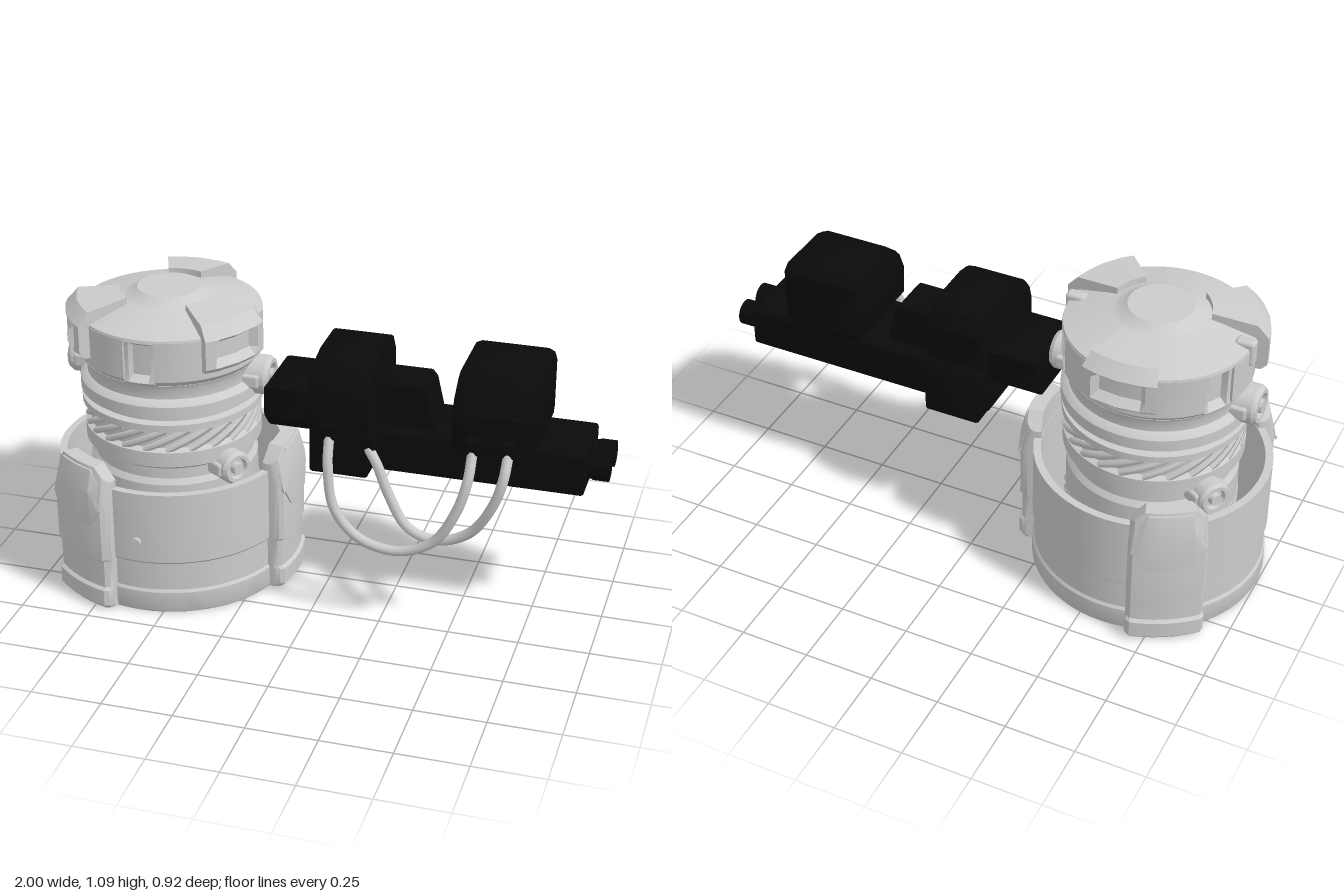
import * as THREE from 'three';
import { toCreasedNormals } from 'three/addons/utils/BufferGeometryUtils.js';
import { RoundedBoxGeometry } from 'three/addons/geometries/RoundedBoxGeometry.js';

const grey = new THREE.MeshStandardMaterial({ color: 0xcccccc, side: THREE.DoubleSide });
const black = new THREE.MeshStandardMaterial({ color: 0x0a0a0a });
const rad = THREE.MathUtils.degToRad;

function add(parent, name, geometry, material, x = 0, y = 0, z = 0) {
  const mesh = new THREE.Mesh(geometry, material);
  mesh.name = name;
  mesh.position.set(x, y, z);
  parent.add(mesh);
  return mesh;
}

const toShape = (points) => new THREE.Shape(points.map((p) => new THREE.Vector2(...p)));

function lathe(points) {
  const g = new THREE.LatheGeometry(points.map(([r, y]) => new THREE.Vector2(r, y)), 64);
  return toCreasedNormals(g, 0.5);
}

// Sweeps a counter-clockwise (radius, y) section around the axis; section(t) may vary over t = -1..1.
function arcBlock(section, centre, half, steps) {
  const loops = steps.map((t) => section(t));
  const n = loops[0].length, pos = [];
  const put = (k, i) => {
    const a = rad(centre + half * steps[k]), [r, y] = loops[k][i % n];
    pos.push(r * Math.cos(a), y, r * Math.sin(a));
  };
  for (let k = 0; k < steps.length - 1; k++) {
    for (let i = 0; i < n; i++) {
      put(k, i); put(k, i + 1); put(k + 1, i);
      put(k, i + 1); put(k + 1, i + 1); put(k + 1, i);
    }
  }
  for (const k of [0, steps.length - 1]) {
    const faces = THREE.ShapeUtils.triangulateShape(loops[k].map((p) => new THREE.Vector2(...p)), []);
    for (const [a, b, c] of faces) (k ? [a, b, c] : [a, c, b]).forEach((i) => put(k, i));
  }
  const g = new THREE.BufferGeometry();
  g.setAttribute('position', new THREE.Float32BufferAttribute(pos, 3));
  return toCreasedNormals(g, 0.45);
}

// Extrudes a (z, y) outline along x from x0 to x1 with a small bevel.
function sideBlock(outline, x0, x1, bevel = 0.012) {
  const g = new THREE.ExtrudeGeometry(toShape(outline.map(([z, y]) => [-z, y])), {
    depth: x1 - x0 - 2 * bevel, bevelThickness: bevel, bevelSize: bevel, bevelOffset: -bevel, bevelSegments: 2,
  });
  g.translate(0, 0, x0 + bevel).rotateY(Math.PI / 2);
  return toCreasedNormals(g, 0.5);
}

function buildBase(turret) {
  // Open ring: no floor between it and the column
  add(turret, 'baseRing', lathe([[0.385, 0.02], [0.4, 0], [0.41, 0], [0.415, 0.01], [0.415, 0.08], [0.408, 0.09],
    [0.408, 0.195], [0.415, 0.203], [0.415, 0.47], [0.388, 0.47], [0.385, 0.02]]), grey);
  const steps = [-1, -0.95, -0.85, -0.62, -0.3, 0, 0.3, 0.62, 0.85, 0.95, 1];
  for (const angle of [0, 120, 240]) {
    // Armour pad with clipped upper corners and rounded sides
    const pad = (t) => {
      const e = Math.abs(t), top = 0.555 - Math.max(0, e - 0.62) * 0.15;
      const d = Math.max(0, e - 0.85) ** 2 * 1.2;
      return [[0.39, 0.005], [0.455 - d, 0.005], [0.468 - d, 0.02], [0.468 - d, 0.08], [0.457 - d, 0.09],
        [0.457 - d, 0.195], [0.466 - d, 0.203], [0.466 - d, top - 0.09], [0.443 - d, top], [0.39, top]];
    };
    add(turret, 'armourPad', arcBlock(pad, angle, 18, steps), grey);
    // Eight-sided panel on the upper pad
    const panel = (t) => {
      const cut = Math.max(0, Math.abs(t) - 0.62) * 0.2;
      return [[0.44, 0.33 + cut], [0.473, 0.33 + cut], [0.473, 0.465 - cut], [0.452, 0.545 - cut], [0.43, 0.545 - cut]];
    };
    add(turret, 'padPanel', arcBlock(panel, angle, 16, steps), grey);
  }
  // Front bolt and its inner cone
  const bolt = add(turret, 'frontBolt', new THREE.CylinderGeometry(0.018, 0.018, 0.03, 12), grey, 0, 0.28, 0.413);
  bolt.rotation.x = Math.PI / 2;
  const cone = add(turret, 'innerCone', new THREE.CylinderGeometry(0.012, 0.04, 0.18, 16), grey, 0, 0.28, 0.3);
  cone.rotation.x = Math.PI / 2;
}

// A band of slanted ribs between two heights
function ribBand(parent, count, radius, y0, y1, sweep) {
  for (let k = 0; k < count; k++) {
    const pts = [0, 1, 2, 3, 4].map((i) => {
      const a = (k / count) * Math.PI * 2 - (i / 4) * rad(sweep);
      return new THREE.Vector3(radius * Math.cos(a), y0 + ((y1 - y0) * i) / 4, radius * Math.sin(a));
    });
    add(parent, 'slantedRib', new THREE.TubeGeometry(new THREE.CatmullRomCurve3(pts), 6, 0.013, 5), grey);
  }
}

function buildColumn(turret) {
  add(turret, 'column', lathe([[0.3, 0.1], [0.3, 0.45], [0.285, 0.47], [0.285, 0.51], [0.315, 0.53], [0.315, 0.585], [0.295, 0.595],
    [0.295, 0.665], [0.322, 0.67], [0.322, 0.695], [0.295, 0.7], [0.295, 0.715], [0.325, 0.722], [0.325, 0.765],
    [0.31, 0.78], [0.3, 0.785], [0.3, 0.82], [0.31, 0.84], [0.27, 0.85]]), grey);
  ribBand(turret, 24, 0.303, 0.59, 0.668, 30);
  ribBand(turret, 24, 0.293, 0.26, 0.34, 30);
  // Round hubs: the upper pair is the arm pivot, the lower pair sits in the base
  const hub = [[0.07, -0.07], [0.07, 0.03], [0.06, 0.045], [0.045, 0.045], [0.04, 0.025], [0.026, 0.025], [0.024, 0.05], [0, 0.05]];
  for (const [angle, y, s] of [[0, 0.785, 1], [180, 0.785, 1], [33, 0.505, 0.85], [213, 0.505, 0.85]]) {
    const pivot = new THREE.Group();
    pivot.name = 'hub';
    pivot.rotation.y = -rad(angle);
    turret.add(pivot);
    const disc = add(pivot, 'hubDisc', lathe(hub), grey, 0.33, y, 0);
    disc.rotation.z = -Math.PI / 2;
    disc.scale.setScalar(s);
    add(pivot, 'hubBracket', new RoundedBoxGeometry(0.07, 0.05, 0.16 * s, 2, 0.01), grey, 0.31, y, 0);
  }
}

function buildHead(turret) {
  add(turret, 'headCore', lathe([[0.27, 0.85], [0.285, 0.85], [0.285, 1.0], [0.325, 1.0], [0.322, 1.012], [0.21, 1.045],
    [0.16, 1.057], [0.14, 1.063], [0.112, 1.085], [0, 1.085]]), grey);
  const wide = Array.from({ length: 17 }, (_, i) => i / 8 - 1);
  const frame = [-1, -0.72, -0.6, 0, 0.6, 0.72, 1];
  for (const angle of [30, 150, 270]) {
    // Head wall between two window pockets
    add(turret, 'headWall', arcBlock(() => [[0.27, 0.83], [0.3, 0.83], [0.325, 0.86], [0.325, 1.005], [0.27, 1.005]], angle, 50, wide), grey);
    // Raised roof plate folding over the edge, with a recessed window
    const plate = (t) => {
      const r = Math.abs(t) < 0.65 ? 0.338 : 0.366;
      return [[0.3, 0.89], [0.345, 0.89], [0.366, 0.91], [r, 0.935], [r, 0.995], [0.366, 1.015], [0.325, 1.06], [0.17, 1.078], [0.17, 1.03]];
    };
    add(turret, 'roofPlate', arcBlock(plate, angle, 21, frame), grey);
    // Window pocket sill and inner frame
    const pocket = (t) => {
      const r = Math.abs(t) < 0.65 ? 0.292 : 0.315;
      return [[0.27, 0.83], [0.3, 0.83], [0.32, 0.85], [r, 0.87], [r, 0.98], [0.318, 1.0], [0.27, 1.0]];
    };
    add(turret, 'windowPocket', arcBlock(pocket, angle + 60, 10, frame), grey);
  }
  for (const s of [-1, 1]) {
    add(turret, 'sideClip', new RoundedBoxGeometry(0.07, 0.09, 0.045, 2, 0.012), grey, s * 0.302, 0.99, 0);
  }
}

function buildGun(gun) {
  const zc = -0.01;
  add(gun, 'rail', new RoundedBoxGeometry(0.95, 0.15, 0.28, 2, 0.012), black, 0.452, 0.612, zc);
  // Rear mount with clipped lower corners
  add(gun, 'rearMount', sideBlock([[0.13, 0.69], [0.08, 0.635], [-0.09, 0.635], [-0.145, 0.69], [-0.145, 0.8], [0.13, 0.8]], -0.205, 0.02), black);
  // Drum housing: rounded over the top, wider at the foot
  add(gun, 'drumHousing', sideBlock([[0.2, 0.537], [0.2, 0.71], [0.217, 0.74], [0.217, 0.8], [0.197, 0.86], [0.162, 0.905], [0.117, 0.935],
    [0.06, 0.948], [-0.1, 0.948], [-0.15, 0.925], [-0.182, 0.87], [-0.182, 0.74], [-0.207, 0.715], [-0.218, 0.68], [-0.218, 0.537]], -0.02, 0.192), black);
  const wedge = toShape([[-0.01, 0.79], [0.04, 0.65], [0.14, 0.65], [0.185, 0.79]]);
  add(gun, 'drumWedge', new THREE.ExtrudeGeometry(wedge, { depth: 0.03, bevelEnabled: false }), black, 0, 0, 0.187);
  // Middle block with sloped nose
  const nose = toShape([[0.17, 0.67], [0.395, 0.67], [0.36, 0.82], [0.345, 0.838], [0.17, 0.838]]);
  add(gun, 'middleBlock', new THREE.ExtrudeGeometry(nose, { depth: 0.15, bevelSize: 0.006, bevelThickness: 0.006, bevelSegments: 1 }), black, 0, 0, zc - 0.075);
  // Forward pod with slanted front face and raised panel
  add(gun, 'forwardPod', sideBlock([[0.195, 0.68], [0.2, 0.8], [0.17, 0.87], [0.1, 0.93], [0.06, 0.945], [-0.15, 0.945],
    [-0.18, 0.92], [-0.18, 0.72], [-0.15, 0.68]], 0.475, 0.768, 0.03), black);
  add(gun, 'podPanel', new RoundedBoxGeometry(0.22, 0.13, 0.02, 2, 0.008), black, 0.622, 0.765, 0.192);
  // Twin muzzles
  for (const z of [-0.08, 0.035]) {
    const muzzle = add(gun, 'muzzle', lathe([[0.042, -0.05], [0.042, 0.02], [0.046, 0.025], [0.046, 0.08], [0.026, 0.08], [0.026, 0.03], [0, 0.03]]), black, 0.92, 0.61, z);
    muzzle.rotation.z = -Math.PI / 2;
  }
  // Hanging cables and their sockets
  const cables = [
    [[0.06, 0.69, 0.22], [0.065, 0.6, 0.255], [0.09, 0.44, 0.265], [0.18, 0.335, 0.265], [0.315, 0.305, 0.265], [0.44, 0.36, 0.27], [0.52, 0.49, 0.275], [0.555, 0.61, 0.26], [0.56, 0.7, 0.22]],
    [[0.19, 0.65, 0.19], [0.225, 0.6, 0.205], [0.27, 0.49, 0.21], [0.34, 0.375, 0.215], [0.44, 0.34, 0.215], [0.56, 0.395, 0.23], [0.645, 0.53, 0.255], [0.675, 0.63, 0.25], [0.68, 0.7, 0.21]],
  ];
  for (const path of cables) {
    const curve = new THREE.CatmullRomCurve3(path.map((p) => new THREE.Vector3(...p)));
    add(gun, 'cable', new THREE.TubeGeometry(curve, 60, 0.018, 10), grey);
    for (const [x, y, z] of [path[0], path[path.length - 1]]) {
      add(gun, 'cableSocket', new RoundedBoxGeometry(0.05, 0.06, 0.05, 2, 0.01), black, x, y + 0.02, z - 0.01);
    }
  }
}

export function createModel() {
  const model = new THREE.Group();
  model.name = 'turretWithSideGun';
  const turret = new THREE.Group();
  turret.name = 'turret';
  turret.position.x = -0.585;
  const gun = new THREE.Group();
  gun.name = 'gun';
  model.add(turret, gun);
  buildBase(turret);
  buildColumn(turret);
  buildHead(turret);
  buildGun(gun);
  return model;
}
